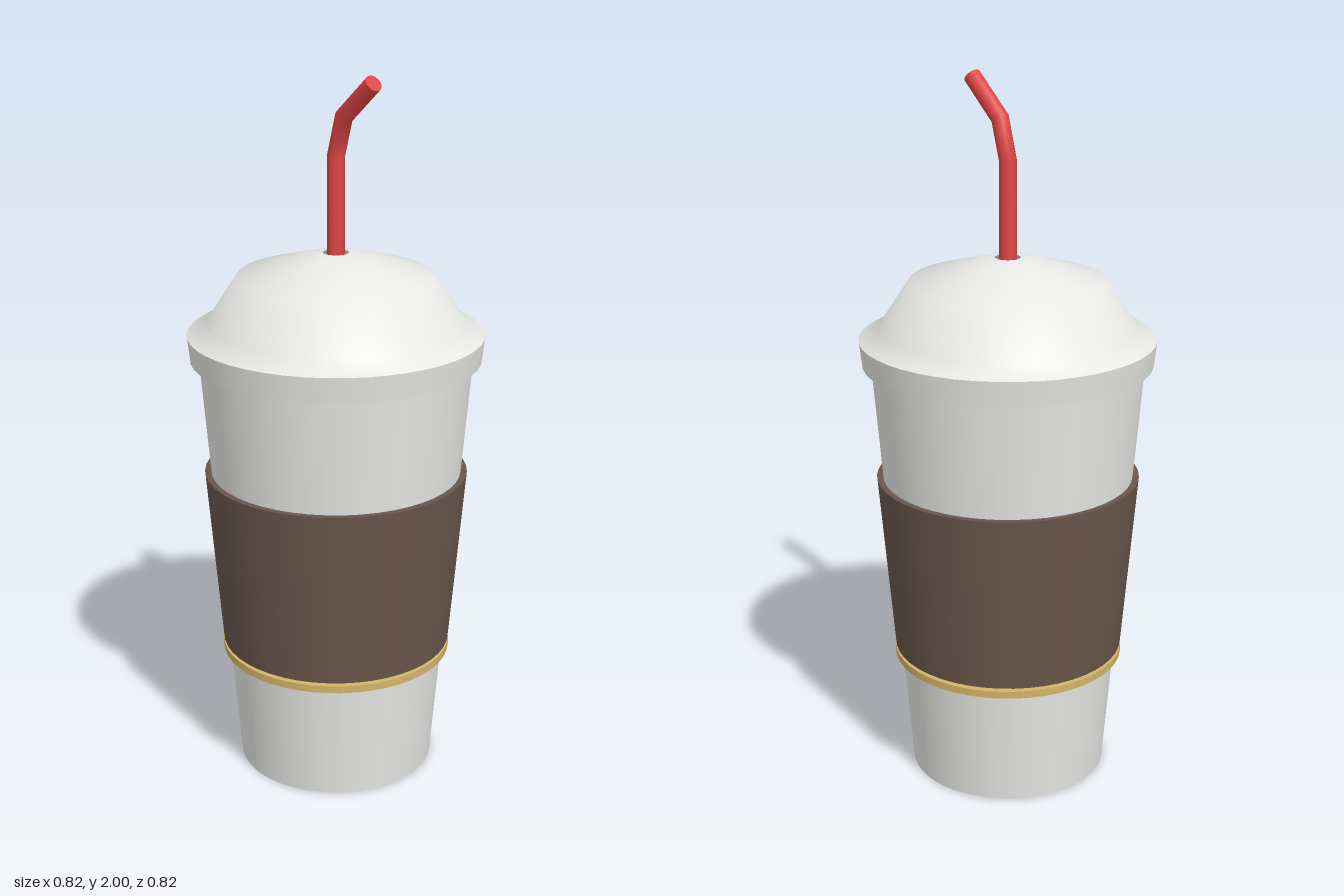
import * as THREE from 'three';

const SEG = 48;

function material(name, color, side = THREE.FrontSide) {
  const m = new THREE.MeshStandardMaterial({ color, side });
  m.name = name;
  return m;
}

export function createModel() {
  const group = new THREE.Group();
  const white = material('paper white', 0xf0f0ee, THREE.DoubleSide);
  const brown = material('sleeve brown', 0x69564b);
  const gold = material('band gold', 0xd2b468);
  const red = material('straw red', 0xe04444);

  const add = (name, geometry, mat) => {
    const mesh = new THREE.Mesh(geometry, mat);
    mesh.name = name;
    group.add(mesh);
    return mesh;
  };
  // Tapered solid between two heights
  const taper = (name, r0, y0, r1, y1, mat) => {
    add(name, new THREE.CylinderGeometry(r1, r0, y1 - y0, SEG), mat).position.y = (y0 + y1) / 2;
  };
  // Turned surface from [radius, height] pairs, bottom to top
  const turned = (name, points, mat) =>
    add(name, new THREE.LatheGeometry(points.map(([r, y]) => new THREE.Vector2(r, y)), SEG), mat);

  // Cup, sleeve and thin band
  taper('cup', 0.28, 0, 0.38, 1.23, white);
  taper('sleeve', 0.327, 0.375, 0.37, 0.887, brown);
  taper('band', 0.328, 0.345, 0.328, 0.366, gold);

  // Lid: underside, rim and dome with a straw hole
  turned('lidUnderside', [[0.37, 1.217], [0.403, 1.217]], white);
  turned('lidRim', [[0.403, 1.217], [0.411, 1.288]], white);
  turned('lidDome', [
    [0.411, 1.288], [0.355, 1.32], [0.27, 1.45], [0.09, 1.503], [0.035, 1.512],
  ], white);

  // Bent straw: one ring of vertices per path point, mitred at the bends
  const path = [[0, 1.23], [0, 1.775], [0.032, 1.883], [0.148, 1.983]]
    .map(([x, y]) => new THREE.Vector2(x, y));
  const radius = 0.024, sides = 16, last = path.length - 1;
  const straw = new THREE.CylinderGeometry(radius, radius, 1, sides, last);
  const pos = straw.attributes.position;
  for (let i = 0; i < pos.count; i++) {
    const k = Math.round((pos.getY(i) + 0.5) * last);
    const before = path[Math.max(k, 1)].clone().sub(path[Math.max(k, 1) - 1]).normalize();
    const next = Math.min(k, last - 1);
    const after = path[next + 1].clone().sub(path[next]).normalize();
    const dir = before.clone().add(after).normalize();
    const across = pos.getX(i) / dir.dot(after);
    pos.setXY(i, path[k].x + dir.y * across, path[k].y - dir.x * across);
  }
  straw.computeVertexNormals();
  add('straw', straw, red);

  return group;
}
